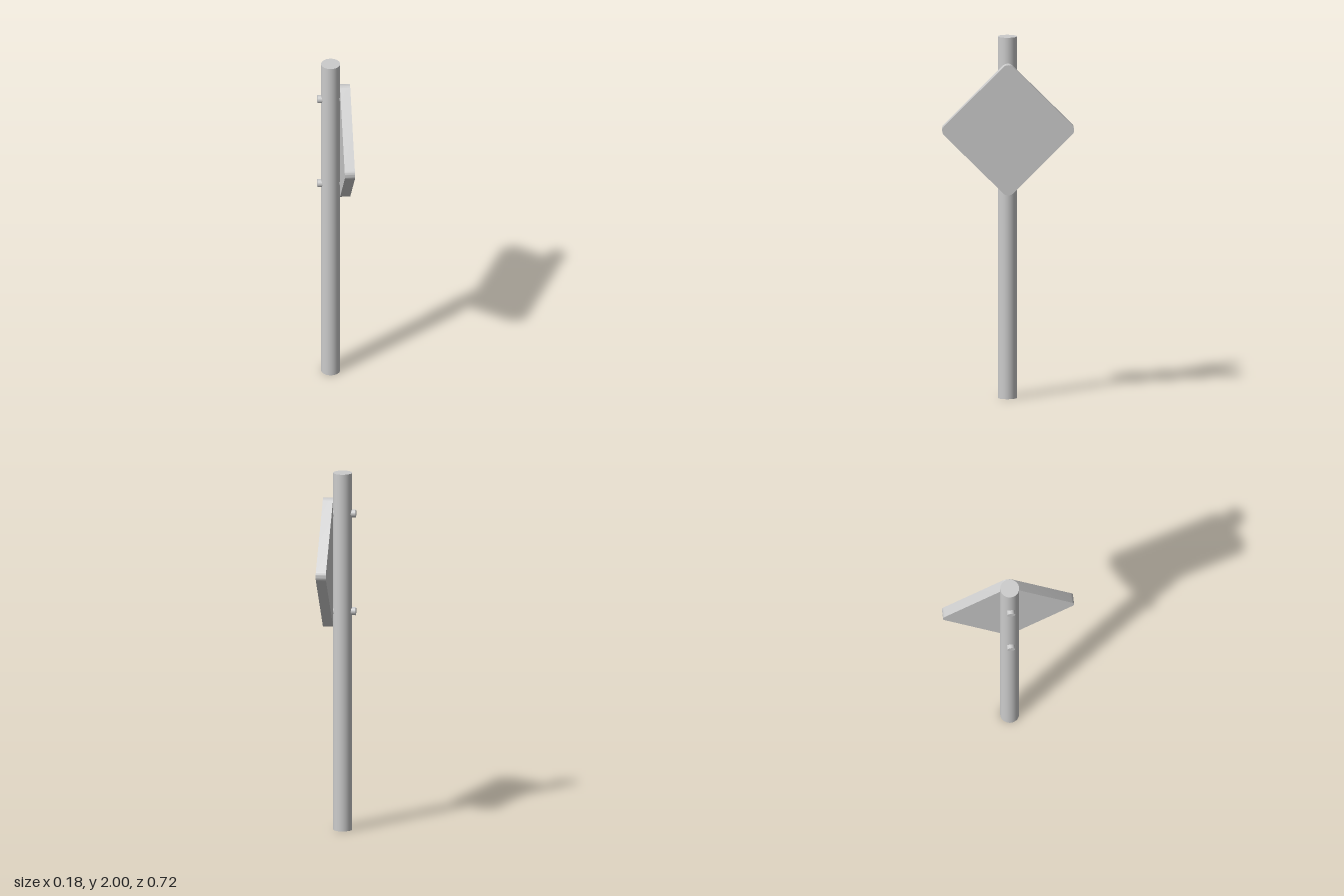
import * as THREE from 'three';
import { toCreasedNormals } from 'three/addons/utils/BufferGeometryUtils.js';

const material = new THREE.MeshStandardMaterial({ color: 0xcccccc });

function add(group, name, geometry, x, y, z) {
  const mesh = new THREE.Mesh(geometry, material);
  mesh.name = name;
  mesh.position.set(x, y, z);
  group.add(mesh);
  return mesh;
}

// Square outline with rounded corners, half side h and corner radius r
function roundedSquare(h, r) {
  const shape = new THREE.Shape();
  const c = h - r;
  [[c, c], [-c, c], [-c, -c], [c, -c]].forEach(([x, y], i) => {
    shape.absarc(x, y, r, i * Math.PI / 2, (i + 1) * Math.PI / 2, false);
  });
  shape.closePath();
  return shape;
}

export function createModel() {
  const group = new THREE.Group();
  group.name = 'signPost';
  const poleX = -0.017;
  const plateY = 1.497;

  // Round pole
  add(group, 'pole', new THREE.CylinderGeometry(0.052, 0.052, 2, 48), poleX, 1, 0);

  // Diamond plate facing +x
  const plate = new THREE.ExtrudeGeometry(roundedSquare(0.266, 0.038), {
    depth: 0.056, bevelEnabled: false, curveSegments: 8,
  });
  plate.rotateZ(Math.PI / 4).rotateY(Math.PI / 2);
  add(group, 'signPlate', toCreasedNormals(plate, 0.5), 0.033, plateY, 0);

  // Bolts through the pole into the plate
  for (const side of [1, -1]) {
    const bolt = new THREE.CylinderGeometry(0.022, 0.022, 0.13, 24).rotateZ(Math.PI / 2);
    add(group, side > 0 ? 'upperBolt' : 'lowerBolt', bolt, -0.025, 1.499 + side * 0.274, 0);
  }
  return group;
}
